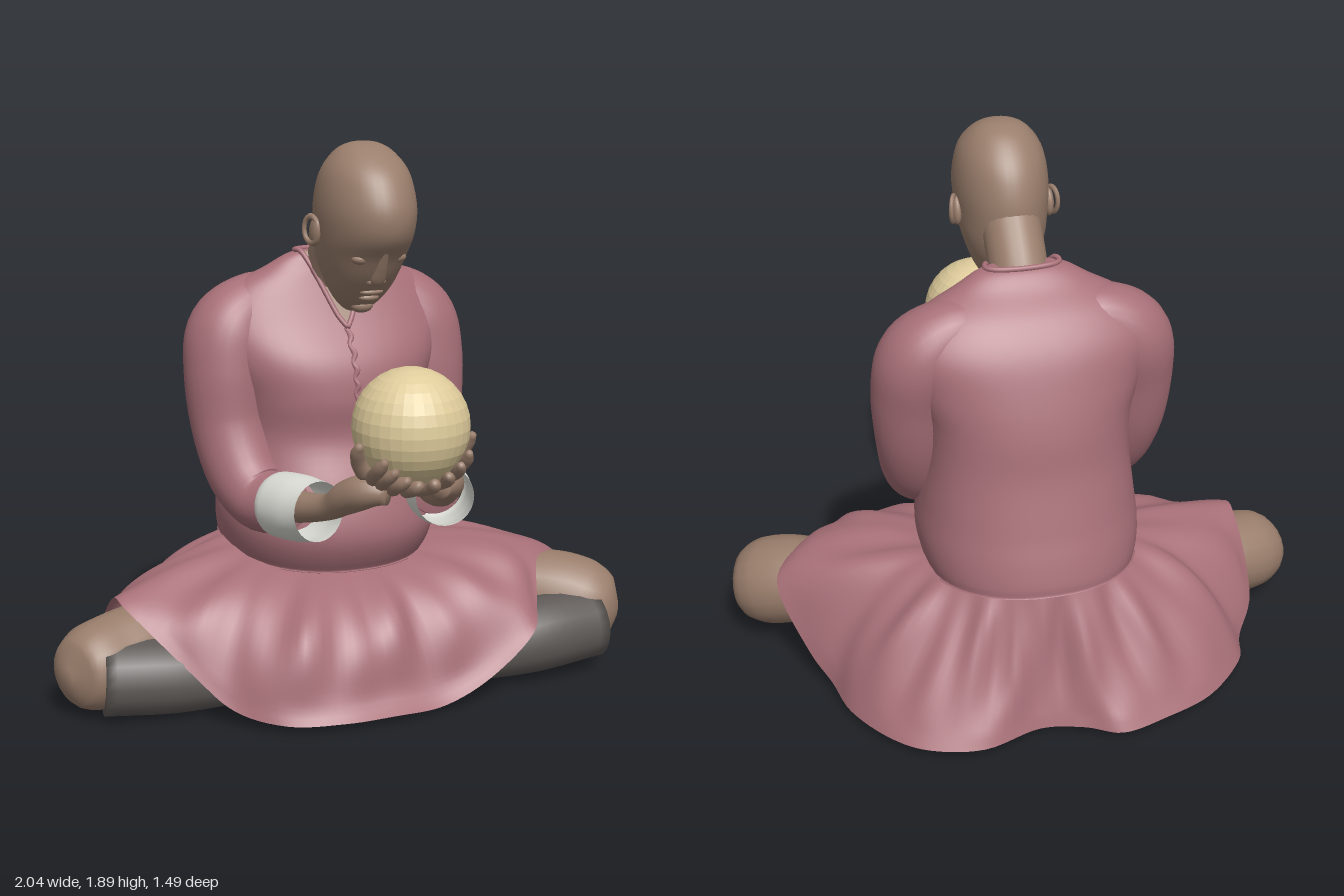
import * as THREE from 'three';

const V = (x, y, z) => new THREE.Vector3(x, y, z);
const mat = (name, color, side = THREE.FrontSide) => {
  const m = new THREE.MeshStandardMaterial({ color, side });
  m.name = name;
  return m;
};
const CX = 0.025; // the body's own mirror plane

// Smooth interpolation through a short table of rows, t in 0..1
function rowAt(rows, t, closed = false) {
  const n = rows.length, span = closed ? n : n - 1;
  const k = Math.min(span - 1, Math.floor(t * span)), f = t * span - k;
  const row = (i) => rows[closed ? (i + n) % n : Math.max(0, Math.min(n - 1, i))];
  const [a, b, c, d] = [row(k - 1), row(k), row(k + 1), row(k + 2)];
  return b.map((_, i) => b[i] + 0.5 * f * (c[i] - a[i]
    + f * (2 * a[i] - 5 * b[i] + 4 * c[i] - d[i] + f * (3 * (b[i] - c[i]) + d[i] - a[i]))));
}

// Surface from fn(u across, v along); the across direction may wrap round
function grid(fn, nu, nv, wrap = true) {
  const pos = [], idx = [], w = wrap ? nu : nu + 1;
  for (let j = 0; j <= nv; j++) for (let i = 0; i < w; i++) pos.push(...fn(i / nu, j / nv).toArray());
  for (let j = 0; j < nv; j++) for (let i = 0; i < nu; i++) {
    const a = j * w + i, b = j * w + (i + 1) % w;
    idx.push(a, b, a + w, b, b + w, a + w);
  }
  const g = new THREE.BufferGeometry();
  g.setAttribute('position', new THREE.Float32BufferAttribute(pos, 3));
  g.setIndex(idx);
  g.computeVertexNormals();
  return g;
}

// Tapered round limb through rows of [x, y, z, radius]
function limb(rows, { nu = 20, nv = 28, cap = true } = {}) {
  const curve = new THREE.CatmullRomCurve3(rows.map((r) => V(r[0], r[1], r[2])), false, 'catmullrom');
  const { normals, binormals } = curve.computeFrenetFrames(nv);
  const n = nv + (cap ? 2 : 0);
  return grid((u, v) => {
    const j = Math.round(v * n) - (cap ? 1 : 0);
    const k = Math.max(0, Math.min(nv, j)), a = u * Math.PI * 2;
    const r = j === k ? rowAt(rows, curve.getUtoTmapping(k / nv))[3] : 0;
    return curve.getPointAt(k / nv).addScaledVector(normals[k], r * Math.cos(a)).addScaledVector(binormals[k], r * Math.sin(a));
  }, nu, n);
}

// Horizontal sections: [y, half width, back z, front z]
function section(rows, t, a, p = 1) {
  const [y, hw, zb, zf] = rowAt(rows, t), pw = (q) => Math.sign(q) * Math.abs(q) ** p;
  return V(CX + Math.max(0, hw) * pw(Math.sin(a)), y, (zb + zf) / 2 + (zf - zb) / 2 * pw(Math.cos(a)));
}

const TORSO = [[0.48, 0, -0.2, -0.2], [0.472, 0.33, -0.53, 0.14], [0.475, 0.36, -0.565, 0.17], [0.58, 0.38, -0.55, 0.225],
  [0.72, 0.365, -0.515, 0.19], [0.88, 0.345, -0.475, 0.125], [1.02, 0.355, -0.455, 0.135], [1.15, 0.4, -0.42, 0.11],
  [1.28, 0.43, -0.37, 0.03], [1.38, 0.36, -0.3, -0.02], [1.45, 0.235, -0.22, -0.05], [1.505, 0.125, -0.16, -0.075], [1.49, 0, -0.11, -0.11]];
const HEAD = [[1.33, 0, 0.11, 0.11], [1.335, 0.035, 0.08, 0.15], [1.37, 0.074, 0.05, 0.205], [1.42, 0.105, 0.015, 0.262],
  [1.47, 0.125, -0.02, 0.305], [1.53, 0.142, -0.04, 0.345], [1.6, 0.152, -0.05, 0.4], [1.68, 0.158, -0.045, 0.414],
  [1.76, 0.15, -0.02, 0.388], [1.82, 0.13, 0.02, 0.345], [1.87, 0.09, 0.075, 0.275], [1.893, 0.045, 0.13, 0.215], [1.897, 0, 0.17, 0.17]];
// Skirt hem going round from the front: [x, y, z, shoulder position, shoulder height]
const HEM = [[0, 0.03, 0.43, 1.2, 0.34], [0.2, 0.03, 0.42, 1.15, 0.36], [0.38, 0.1, 0.43, 0.95, 0.41], [0.55, 0.22, 0.42, 0.85, 0.45],
  [0.63, 0.29, 0.31, 0.85, 0.49], [0.7, 0.4, 0.19, 0.75, 0.5], [0.84, 0.37, 0.07, 0.75, 0.49], [0.88, 0.3, -0.02, 0.75, 0.47],
  [0.8, 0.12, -0.15, 0.8, 0.46], [0.74, 0.05, -0.25, 0.8, 0.4], [0.7, 0.03, -0.4, 0.75, 0.35], [0.6, 0.03, -0.57, 0.6, 0.3],
  [0.48, 0.03, -0.67, 0.5, 0.25], [0.3, 0.03, -0.71, 0.5, 0.25], [0.1, 0.03, -0.65, 0.5, 0.25], [-0.05, 0.03, -0.68, 0.5, 0.25],
  [-0.17, 0.03, -0.74, 0.5, 0.25], [-0.33, 0.03, -0.7, 0.5, 0.25], [-0.52, 0.03, -0.62, 0.6, 0.3], [-0.68, 0.04, -0.47, 0.7, 0.35],
  [-0.73, 0.05, -0.34, 0.75, 0.4], [-0.8, 0.16, -0.24, 0.8, 0.43], [-0.8, 0.37, -0.05, 0.7, 0.44], [-0.78, 0.36, 0.08, 0.7, 0.44],
  [-0.62, 0.18, 0.23, 0.85, 0.42], [-0.5, 0.06, 0.31, 0.95, 0.4], [-0.36, 0.03, 0.41, 1.1, 0.36], [-0.18, 0.03, 0.44, 1.2, 0.34]];

export function createModel() {
  const model = new THREE.Group();
  const skin = mat('skin', 0x9a7e6c), cloth = mat('rose cloth', 0xa87078, THREE.DoubleSide);
  const cuffWhite = mat('cuff white', 0xdcdcd6, THREE.DoubleSide);
  const stocking = mat('grey stocking', 0x5f5a57), cream = mat('cream', 0xdfcc9c);
  const add = (name, geo, m) => {
    const mesh = new THREE.Mesh(geo, m);
    mesh.name = name;
    model.add(mesh);
    return mesh;
  };
  const blob = (name, m, x, y, z, sx, sy, sz, tilt = 0) => {
    const b = add(name, new THREE.SphereGeometry(1, 20, 14), m);
    b.position.set(x, y, z);
    b.scale.set(sx, sy, sz);
    b.rotation.x = tilt;
  };

  // Jacket body, its hem dipping at the front
  const torso = (t, a) => {
    const p = section(TORSO, t, a, 0.9);
    p.y -= 0.035 * Math.cos(a) * Math.max(0, Math.min(1, (0.68 - p.y) / 0.2)) * (t > 0.05 ? 1 : 0);
    return p;
  };
  add('jacketBody', grid((u, v) => torso(v, u * Math.PI * 2), 48, 72), cloth);

  // Open neckline with skin, edged by a collar
  const neckline = (side, v) => {
    const t = (7.8 + 3.2 * v) / 12, hw = rowAt(TORSO, t)[1];
    const s = Math.min(1, (0.115 * v ** 0.65 * Math.abs(side)) / hw) ** (1 / 0.9);
    return torso(t, Math.sign(side) * Math.asin(s)).add(V(0, 0.004, 0.007));
  };
  add('chest', grid((u, v) => neckline(u * 2 - 1, v), 12, 14, false), skin);
  const edge = (s) => [0, 0.1, 0.25, 0.5, 0.75, 1].map((v) => neckline(s, v));
  const back = [1.6, 2.1, 2.6, 3.14, 3.68, 4.18, 4.68].map((a) => torso(11 / 12, a).add(V(0, 0.004, 0)));
  const collar = [...edge(1), ...back, ...edge(-1).reverse()].map((p) => [p.x, p.y, p.z, 0.009]);
  add('collar', limb(collar, { nu: 10, nv: 80 }), cloth);
  const placket = Array.from({ length: 12 }, (_, i) => {
    const p = torso((7.8 - i * 0.2) / 12, 0);
    return [p.x + 0.006 * (i % 2 ? 1 : -1), p.y, p.z - 0.002, 0.007 + 0.005 * (i % 2)];
  });
  add('placket', limb(placket, { nu: 8, nv: 50 }), cloth);

  // Skirt draped over the legs, flaring where it meets the floor in front
  add('skirt', grid((u, v) => {
    const [hx, hy, hz, m, my] = rowAt(HEM, u, true), s = 1 - v;
    const a = Math.atan2(hx - 0.03, hz + 0.2), front = Math.max(0, Math.cos(a));
    const wx = 0.03 + 0.33 * Math.sin(a), wz = -0.2 + 0.33 * Math.cos(a), wy = 0.5 - 0.07 * front;
    const bez = (p, q, r) => p * v * v + 2 * q * s * v + r * s * s;
    const fold = Math.sin(Math.PI * Math.min(1, s * 1.1)) * (0.012 * Math.sin(13 * a + 3 * s) + 0.008 * Math.sin(23 * a));
    const flare = 0.08 * s ** 14 * front ** 4;
    return V(bez(wx, wx + (hx - wx) * Math.min(1, m), hx) + fold * Math.sin(a), bez(wy, my, hy) + fold * 0.6,
      bez(wz, wz + (hz - wz) * m, hz) + fold * Math.cos(a) + flare);
  }, 168, 30), cloth);

  // Head and neck
  add('neck', limb([[CX, 1.36, -0.13, 0.1], [CX, 1.48, -0.06, 0.098], [CX, 1.62, 0.06, 0.1]]), skin);
  add('head', grid((u, v) => section(HEAD, v, u * Math.PI * 2), 40, 48), skin);
  add('nose', limb([[CX, 1.57, 0.36, 0.012], [CX, 1.5, 0.318, 0.02], [CX, 1.46, 0.288, 0.026], [CX, 1.443, 0.272, 0.014]], { nu: 14, nv: 14 }), skin);
  blob('upperLip', skin, CX, 1.412, 0.243, 0.042, 0.013, 0.02);
  blob('lowerLip', skin, CX, 1.39, 0.222, 0.036, 0.014, 0.02);
  blob('chin', skin, CX, 1.355, 0.165, 0.04, 0.025, 0.03);

  for (const s of [1, -1]) {
    const side = s > 0 ? 'left' : 'right', X = (x) => CX + s * x;
    const mirror = (rows) => rows.map(([x, y, z, r]) => [X(x), y, z, r]);
    blob(side + 'Eyelid', skin, X(0.06), 1.532, 0.302, 0.036, 0.02, 0.025);
    blob(side + 'Nostril', skin, X(0.022), 1.452, 0.274, 0.015, 0.014, 0.018);
    // Ear with a raised rim
    blob(side + 'Ear', skin, X(0.158), 1.605, 0.145, 0.018, 0.05, 0.032, 0.25);
    const rim = add(side + 'EarRim', new THREE.TorusGeometry(0.032, 0.008, 8, 20), skin);
    rim.position.set(X(0.17), 1.613, 0.14);
    rim.rotation.set(0, Math.PI / 2 - s * 0.4, 0);
    rim.scale.y = 1.35;

    // Sleeve and white cuff
    add(side + 'Sleeve', limb(mirror([[0.12, 1.34, -0.18, 0.085], [0.25, 1.315, -0.175, 0.12], [0.345, 1.235, -0.165, 0.148],
      [0.372, 1.1, -0.14, 0.145], [0.372, 0.92, -0.11, 0.132], [0.35, 0.77, -0.04, 0.125], [0.32, 0.695, 0.05, 0.112],
      [0.285, 0.695, 0.14, 0.1], [0.275, 0.698, 0.18, 0.09]]), { nu: 28, nv: 52 }), cloth);
    add(side + 'Cuff', limb(mirror([[0.295, 0.695, 0.13, 0.1], [0.285, 0.697, 0.155, 0.11], [0.255, 0.705, 0.25, 0.112],
      [0.23, 0.715, 0.345, 0.1]]), { nu: 28, nv: 12, cap: false }), cuffWhite);

    // Hand cupped under the ball
    add(side + 'Hand', limb(mirror([[0.275, 0.698, 0.16, 0.06], [0.245, 0.71, 0.26, 0.052], [0.205, 0.74, 0.38, 0.044], [0.175, 0.79, 0.46, 0.056],
      [0.14, 0.822, 0.53, 0.055], [0.09, 0.82, 0.58, 0.035]])), skin);
    const finger = (name, dirs, radii) => add(name, limb(dirs.map((d, i) => {
      const p = V(...d).setLength(0.206);
      return [X(p.x), 1.03 + p.y, 0.555 + p.z, radii[i]];
    }), { nu: 10, nv: 12 }), skin);
    for (let k = 0; k < 4; k++) {
      finger(side + 'Finger' + (k + 1), [[0.85 - 0.25 * k, -0.95, 0.1], [0.92 - 0.26 * k, -0.78, 0.4],
        [0.9 - 0.25 * k, -0.58 - 0.1 * k, 0.62], [0.85 - 0.24 * k, -0.42 - 0.16 * k, 0.75]], [0.027, 0.024, 0.021, 0.011]);
    }
    finger(side + 'Thumb', [[0.9, -0.85, -0.1], [1, -0.55, 0], [1, -0.32, 0.12], [1, -0.18, 0.24]], [0.032, 0.026, 0.022, 0.012]);
  }

  // Ball with flat facets
  const ballGeo = new THREE.SphereGeometry(0.19, 32, 16).toNonIndexed();
  ballGeo.computeVertexNormals();
  add('ball', ballGeo, cream).position.set(CX, 1.03, 0.555);

  // Crossed legs: bare knees emerging from the skirt, grey stockings on shins and feet
  blob('hips', skin, 0.02, 0.26, -0.16, 0.24, 0.13, 0.2);
  add('leftKnee', limb([[0.56, 0.26, 0.04, 0.11], [0.7, 0.255, 0.09, 0.14], [0.81, 0.235, 0.15, 0.158], [0.9, 0.205, 0.21, 0.155],
    [0.965, 0.19, 0.25, 0.115], [0.995, 0.185, 0.265, 0.03]]), skin);
  add('leftStocking', limb([[0.88, 0.16, 0.275, 0.125], [0.6, 0.15, 0.295, 0.13], [0.3, 0.11, 0.27, 0.09], [0.05, 0.075, 0.2, 0.055],
    [-0.1, 0.065, 0.12, 0.058], [-0.2, 0.05, 0, 0.035]]), stocking);
  add('rightKnee', limb([[-0.6, 0.22, -0.06, 0.11], [-0.7, 0.205, -0.035, 0.14], [-0.81, 0.18, -0.005, 0.15], [-0.9, 0.165, 0.03, 0.145],
    [-0.965, 0.16, 0.055, 0.11], [-0.995, 0.16, 0.07, 0.03]]), skin);
  add('rightStocking', limb([[-0.87, 0.14, 0.07, 0.128], [-0.6, 0.13, 0.12, 0.126], [-0.3, 0.11, 0.13, 0.09], [-0.08, 0.11, 0.07, 0.055],
    [0.05, 0.115, 0, 0.058], [0.14, 0.12, -0.09, 0.04]]), stocking);
  for (let i = 0; i < 5; i++) {
    blob('rightToe' + (i + 1), stocking, 0.11 + i * 0.02, 0.12, -0.125 + i * 0.012, 0.014, 0.016, 0.026);
    blob('leftToe' + (i + 1), stocking, -0.235 + i * 0.018, 0.05, -0.005 - i * 0.008, 0.014, 0.016, 0.026);
  }
  return model;
}
